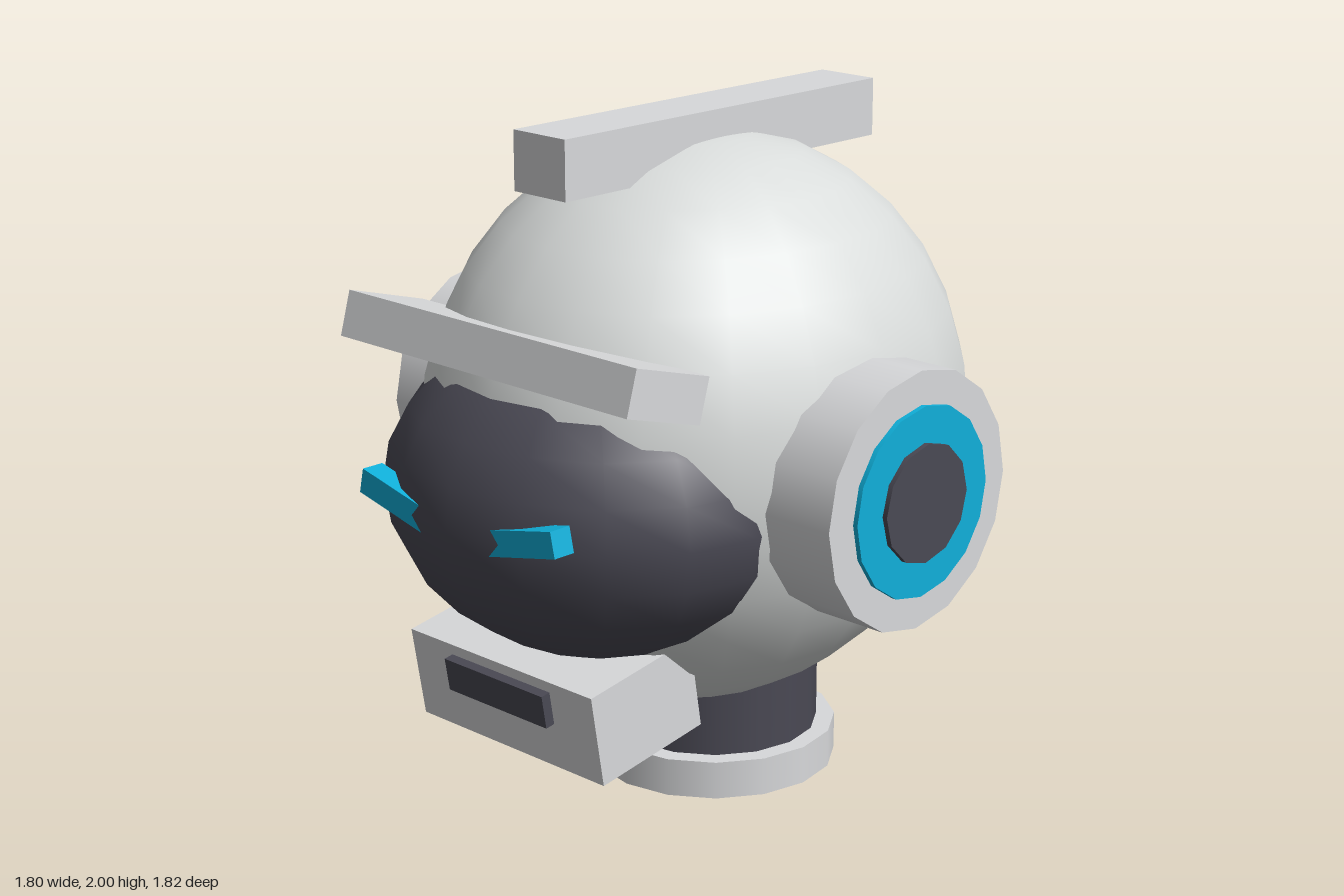
import * as THREE from 'three';

const material = (name, color) => {
  const m = new THREE.MeshStandardMaterial({ color });
  m.name = name;
  return m;
};

export function createModel() {
  const shell = material('shell grey', 0xd9dcdb);
  const trim = material('trim grey', 0xd8d9db);
  const dark = material('dark slate', 0x4a4954);
  const cyan = material('cyan glow', 0x10b0da);

  const model = new THREE.Group();
  model.name = 'robotHead';

  const add = (name, geometry, mat, position, parent = model) => {
    const mesh = new THREE.Mesh(geometry, mat);
    mesh.name = name;
    mesh.position.set(...position);
    parent.add(mesh);
    return mesh;
  };
  const box = (name, size, mat, position, parent) =>
    add(name, new THREE.BoxGeometry(...size), mat, position, parent);

  // Skull, slightly narrowed from side to side
  add('skull', new THREE.SphereGeometry(0.84, 20, 16), shell, [0, 1.09, -0.07]).scale.x = 0.9;

  // Wide dark visor bulging out of the face
  add('visor', new THREE.SphereGeometry(1, 16, 12), dark, [0, 0.965, 0.36]).scale.set(0.64, 0.47, 0.55);

  // Crest, brow and chin blocks
  box('crest', [0.2, 0.17, 1.26], trim, [0, 1.915, -0.085]);
  box('brow', [1.14, 0.132, 0.28], trim, [0, 1.405, 0.633]).rotation.x = -0.28;
  const jaw = new THREE.Group();
  jaw.name = 'jaw';
  jaw.position.set(0, 0.43, 0.515);
  jaw.rotation.x = 0.165;
  model.add(jaw);
  box('chin', [0.74, 0.275, 0.39], trim, [0, 0, 0], jaw);
  box('mouth', [0.4, 0.1, 0.06], dark, [0, 0.055, 0.195], jaw);

  // Neck standing in its collar
  add('neck', new THREE.CylinderGeometry(0.315, 0.315, 0.5, 16), dark, [0, 0.25, -0.14]);
  add('collar', new THREE.CylinderGeometry(0.37, 0.37, 0.114, 16), trim, [0, 0.058, -0.14]);

  for (const side of [1, -1]) {
    const label = side > 0 ? 'left' : 'right';

    // Slanted eye, its inner end sunk into the visor
    box(label + 'Eye', [0.28, 0.074, 0.07], cyan, [side * 0.25, 0.986, 0.845]).rotation.z = side * 0.22;

    // Ear pod: stacked discs [name, radius, inner x, outer x, sides, material]
    const ear = new THREE.Group();
    ear.name = label + 'Ear';
    ear.position.set(0, 1.03, -0.03);
    model.add(ear);
    const discs = [
      ['earPod', 0.37, 0.45, 0.87, 16, trim],
      ['earRing', 0.273, 0.82, 0.885, 16, cyan],
      ['earCap', 0.17, 0.83, 0.9, 12, dark],
    ];
    for (const [name, r, x0, x1, sides, mat] of discs) {
      const disc = new THREE.CylinderGeometry(r, r, x1 - x0, sides).rotateZ(-side * Math.PI / 2);
      add(name, disc, mat, [side * (x0 + x1) / 2, 0, 0], ear);
    }
  }
  return model;
}
